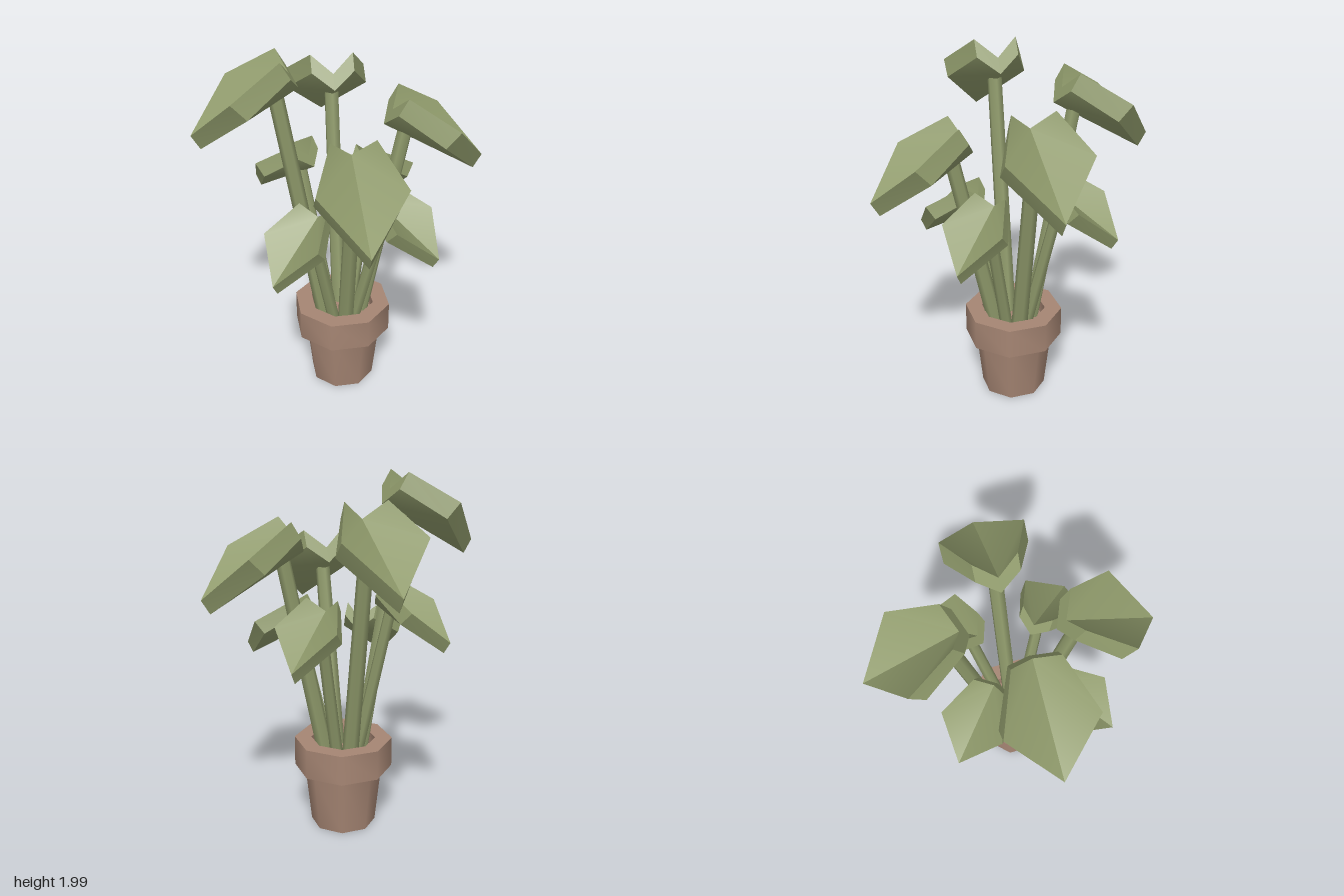
import * as THREE from 'three';
import { toCreasedNormals } from 'three/addons/utils/BufferGeometryUtils.js';

const leafGreen = new THREE.MeshStandardMaterial({ color: 0x8f9a6b });
leafGreen.name = 'leaf green';
const clay = new THREE.MeshStandardMaterial({ color: 0xa58573 });
clay.name = 'clay';

function add(parent, name, geometry, material) {
  const mesh = new THREE.Mesh(geometry, material);
  mesh.name = name;
  parent.add(mesh);
  return mesh;
}

// Eight-sided pot with a thick rim and a shallow filled opening
function potGeometry() {
  const k = 1 / Math.cos(Math.PI / 8);
  const profile = [[0, 0], [0.17, 0], [0.204, 0.345], [0.256, 0.345], [0.256, 0.515],
    [0.168, 0.515], [0.168, 0.44], [0, 0.44]];
  const points = profile.map(([r, y]) => new THREE.Vector2(r * k, y));
  return toCreasedNormals(new THREE.LatheGeometry(points, 8, Math.PI / 8), 0.9);
}

// Thick folded leaf: x across, y out of the upper face, z from base to tip
function leafGeometry() {
  const top = [[0, 0, 0], [0.115, 0.109, 0], [0.225, 0.102, 0.294],
    [0, 0, 0.585], [-0.225, 0.102, 0.294], [-0.115, 0.109, 0]];
  const drop = [[0.09, 0], [0.1, 0], [0.11, 0.025], [0.088, 0], [0.11, 0.025], [0.1, 0]];
  const bottom = top.map(([x, y, z], i) => [x, y - drop[i][0], z - drop[i][1]]);
  const index = [];
  for (const [a, b, c] of [[0, 3, 2], [0, 2, 1], [0, 4, 3], [0, 5, 4]]) {
    index.push(a, b, c, a + 6, c + 6, b + 6);
  }
  for (let i = 0; i < 6; i++) {
    const j = (i + 1) % 6;
    index.push(i, j, i + 6, j, j + 6, i + 6);
  }
  const geometry = new THREE.BufferGeometry();
  geometry.setAttribute('position', new THREE.Float32BufferAttribute([...top, ...bottom].flat(), 3));
  geometry.setIndex(index);
  return toCreasedNormals(geometry, 0.6);
}

// Straight six-sided stem between two points
function addStem(parent, from, to, rBottom, rTop) {
  const dir = to.clone().sub(from);
  const stem = add(parent, 'stem', new THREE.CylinderGeometry(rTop, rBottom, dir.length(), 6), leafGreen);
  stem.position.copy(from).addScaledVector(dir, 0.5);
  stem.quaternion.setFromUnitVectors(new THREE.Vector3(0, 1, 0), dir.normalize());
}

export function createModel() {
  const model = new THREE.Group();
  model.name = 'pottedPlant';
  add(model, 'pot', potGeometry(), clay);

  const leaf = leafGeometry();
  // One stem and leaf, growing towards the given compass angle
  function addBranch(name, angle, baseR, baseY, size) {
    const branch = new THREE.Group();
    branch.name = name;
    branch.rotation.y = angle;
    const blade = add(branch, 'leaf', leaf, leafGreen);
    blade.position.set(0, baseY, baseR);
    blade.rotation.x = THREE.MathUtils.degToRad(30.3);
    blade.scale.setScalar(size);
    addStem(branch, new THREE.Vector3(0, 0.4, 0.1 * size),
      new THREE.Vector3(0, baseY - 0.09 * size, baseR + 0.075 * size), 0.046 * size, 0.04 * size);
    model.add(branch);
  }

  // Leaves rise step by step around the pot
  for (let i = 0; i < 4; i++) {
    const turn = i * Math.PI / 2;
    addBranch('largeBranch', turn, 0.265, 1.56 + 0.113 * i, 1);
    addBranch('smallBranch', turn - Math.PI / 4, 0.22, 1.165 + 0.07 * i, 0.77);
  }
  return model;
}
